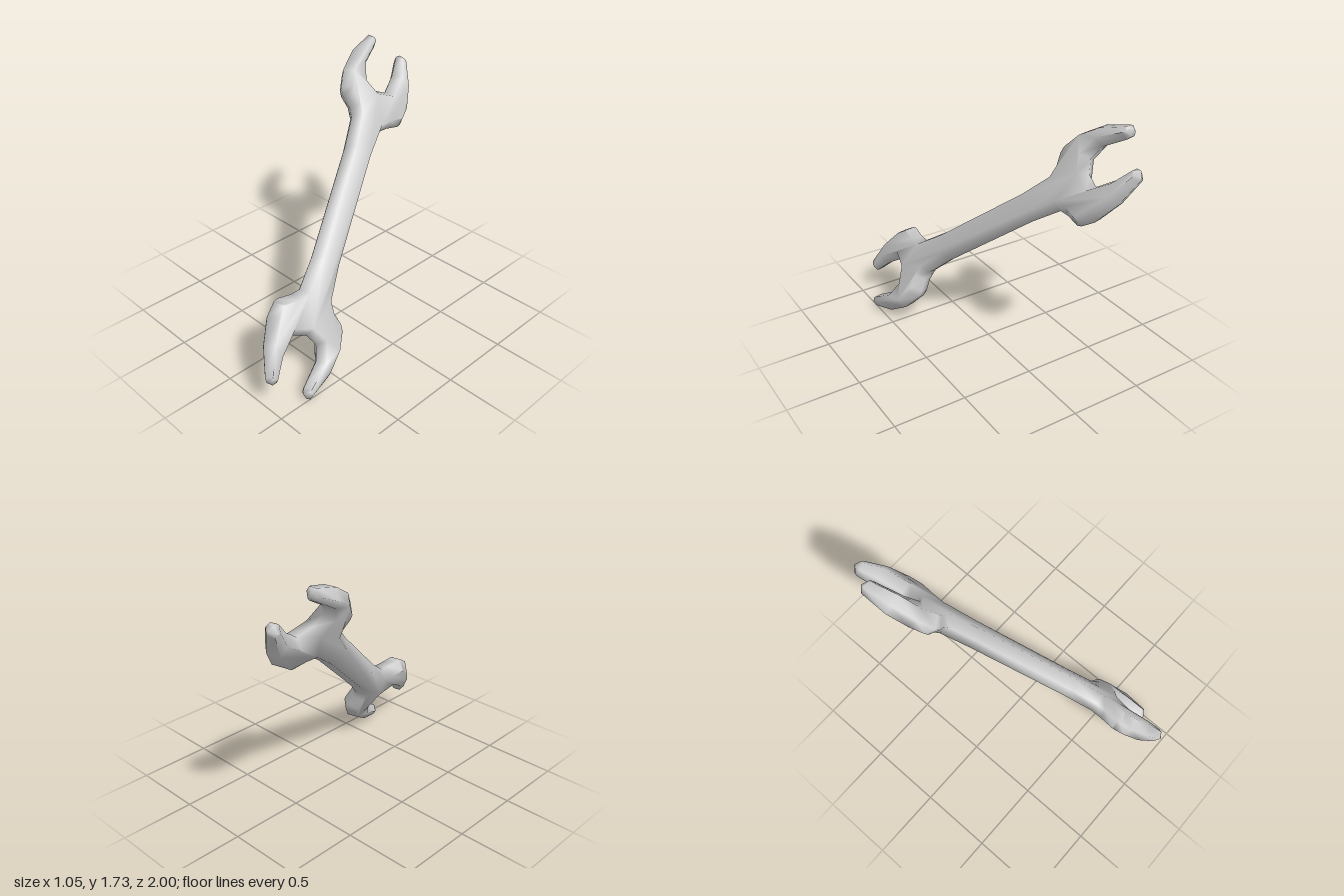
import * as THREE from 'three';

// Half of the spanner outline in its own plane: [across, up, fullness of the bevel]
const HALF = [
  // handle edge into the first prong
  [-0.36, -0.20, 1], [-0.54, -0.35, 1], [-0.61, -0.35, 1], [-0.72, -0.33, 1], [-0.75, -0.34, 1],
  [-0.83, -0.40, 1], [-0.93, -0.55, 1],
  // first tip
  [-1.00, -0.73, 0.65], [-1.00, -0.757, 0.6], [-0.97, -0.79, 0.6], [-0.935, -0.79, 0.65],
  // jaw opening
  [-0.84, -0.68, 0.95], [-0.715, -0.584, 1], [-0.62, -0.63, 1], [-0.575, -0.715, 1], [-0.62, -0.81, 0.95],
  // second tip
  [-0.77, -0.91, 0.7], [-0.795, -0.94, 0.6], [-0.785, -0.985, 0.6], [-0.76, -1.00, 0.65],
  // back of the second prong up to the handle
  [-0.575, -0.94, 1], [-0.435, -0.84, 1], [-0.355, -0.725, 1], [-0.345, -0.665, 1],
  [-0.365, -0.58, 1], [-0.355, -0.52, 1], [-0.205, -0.35, 1],
];
const HALF_THICKNESS = 0.07, BEVEL = 0.043;

function spannerGeometry() {
  // The second end is the first turned half a revolution
  const outline = [...HALF, ...HALF.map(([a, b, s]) => [-a, -b, s])];
  const n = outline.length;
  const ridge = outline.map(([a, b]) => new THREE.Vector2(a, b));

  // Inset each corner along its inward normal to get the edge of the flat face
  const inset = ridge.map((p, i) => {
    const d1 = p.clone().sub(ridge[(i + n - 1) % n]).normalize();
    const d2 = ridge[(i + 1) % n].clone().sub(p).normalize();
    const d = d1.add(d2).normalize();
    return new THREE.Vector2(-d.y, d.x).multiplyScalar(BEVEL * outline[i][2]).add(p);
  });

  // Three rings: front face edge, middle ridge, back face edge
  const positions = [];
  const addRing = (ring, side) =>
    ring.forEach((p, i) => positions.push(p.x, p.y, side * HALF_THICKNESS * outline[i][2]));
  addRing(inset, 1);
  addRing(ridge, 0);
  addRing(inset, -1);

  const index = [];
  for (let r = 0; r < 2; r++) {
    for (let i = 0; i < n; i++) {
      const j = (i + 1) % n;
      const a = r * n + i, b = r * n + j, c = a + n, d = b + n;
      index.push(a, c, d, a, d, b);
    }
  }
  // Flat faces
  for (const [a, b, c] of THREE.ShapeUtils.triangulateShape(inset, [])) {
    index.push(a, b, c, 2 * n + a, 2 * n + c, 2 * n + b);
  }

  const geometry = new THREE.BufferGeometry();
  geometry.setAttribute('position', new THREE.Float32BufferAttribute(positions, 3));
  geometry.setIndex(index);
  geometry.computeVertexNormals();
  return geometry;
}

export function createModel() {
  const group = new THREE.Group();
  group.name = 'openEndedSpanner';

  const spanner = new THREE.Mesh(
    spannerGeometry(),
    new THREE.MeshStandardMaterial({ color: 0xcccccc })
  );
  spanner.name = 'spannerBody';

  // Lean the spanner's plane 30 degrees from upright
  const lean = Math.PI / 6;
  const across = new THREE.Vector3(0, 0, -1);
  const up = new THREE.Vector3(-Math.sin(lean), Math.cos(lean), 0);
  const normal = new THREE.Vector3().crossVectors(across, up);
  spanner.quaternion.setFromRotationMatrix(new THREE.Matrix4().makeBasis(across, up, normal));
  spanner.position.y = 0.867;

  group.add(spanner);
  return group;
}
